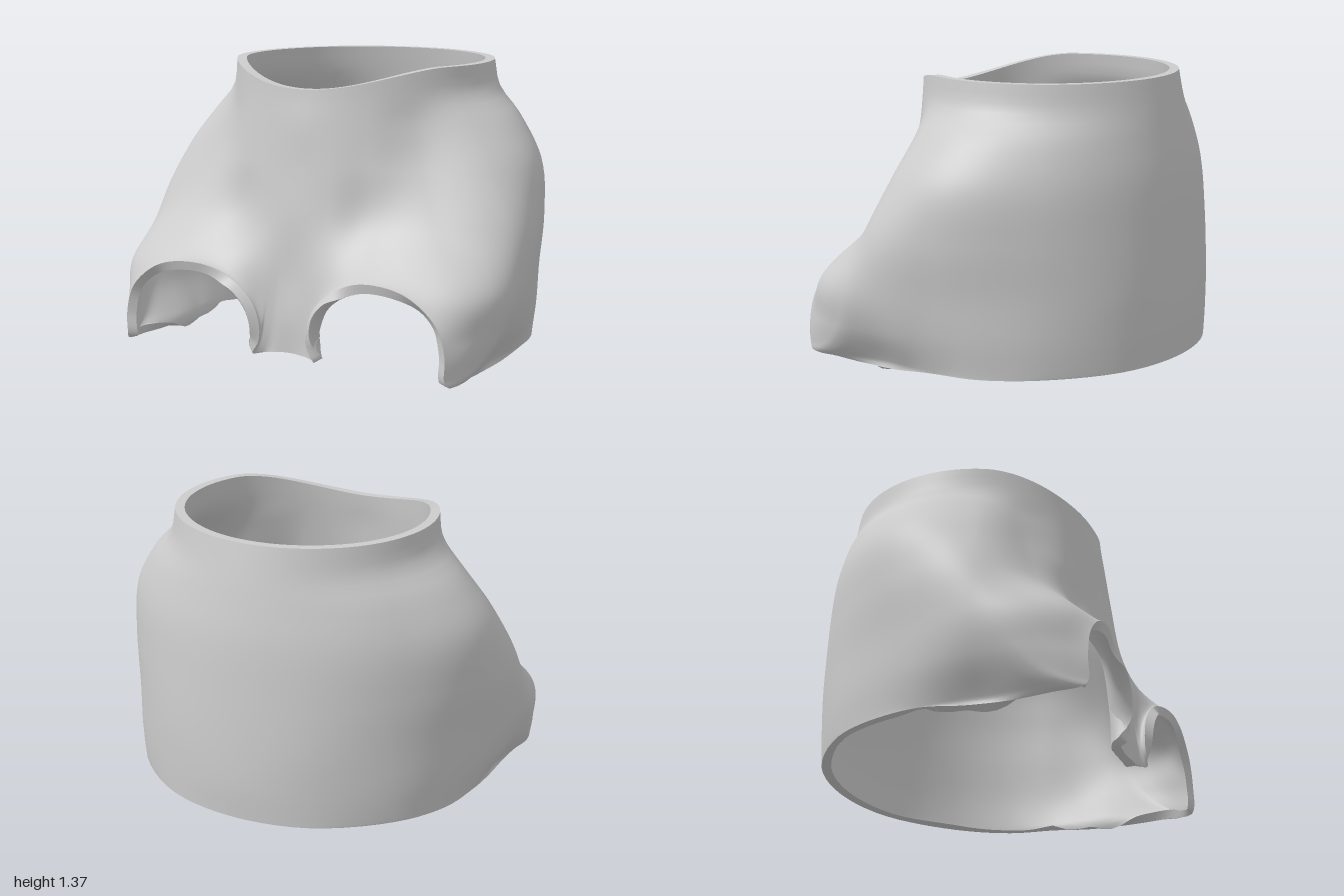
import * as THREE from 'three';

const Z0 = -0.05, WALL = 0.045, ROWS = 48, STEPS = 5, DEG = Math.PI / 180;

// Body radius by angle (0 = back, 180 = front) at a few heights
const ANGLES = [0, 30, 60, 90, 110, 130, 150, 165, 180];
const HEIGHTS = [0.03, 0.2, 0.4, 0.65, 0.9, 1.1, 1.22, 1.35];
const RADII = [
  [0.72, 0.745, 0.80, 0.86, 0.92, 1.08, 1.00, 0.78, 0.73],
  [0.73, 0.75, 0.81, 0.90, 1.02, 1.13, 1.05, 0.78, 0.73],
  [0.725, 0.75, 0.81, 0.92, 1.06, 1.12, 0.90, 0.76, 0.705],
  [0.71, 0.735, 0.81, 0.94, 1.02, 0.87, 0.71, 0.69, 0.685],
  [0.69, 0.71, 0.79, 0.91, 0.89, 0.72, 0.665, 0.655, 0.65],
  [0.655, 0.665, 0.72, 0.78, 0.74, 0.65, 0.635, 0.63, 0.63],
  [0.63, 0.63, 0.645, 0.66, 0.65, 0.63, 0.62, 0.615, 0.61],
  [0.60, 0.605, 0.62, 0.63, 0.63, 0.62, 0.61, 0.605, 0.60],
];

// Lower edge on one side, back to front: x, y, z and the angle reached at the collar
const EDGE = [
  [0, 0.035, -0.77, 0], [0.37, 0.035, -0.695, 28], [0.69, 0.035, -0.45, 55],
  [0.83, 0.03, -0.2, 74], [0.87, 0.03, 0.03, 86], [0.865, 0.01, 0.23, 95],
  [0.857, 0.005, 0.445, 102], [0.86, 0.012, 0.62, 106], [0.86, 0.02, 0.76, 110],
  // arched opening
  [0.85, 0.05, 0.78, 113], [0.852, 0.15, 0.78, 118], [0.82, 0.27, 0.78, 125],
  [0.75, 0.35, 0.78, 131], [0.65, 0.41, 0.78, 137], [0.52, 0.435, 0.775, 143],
  [0.38, 0.42, 0.755, 149], [0.25, 0.36, 0.745, 155], [0.16, 0.27, 0.74, 161],
  [0.125, 0.17, 0.74, 166], [0.13, 0.09, 0.74, 170], [0.165, 0.03, 0.735, 173],
  // bridge between the openings
  [0.13, 0.03, 0.70, 175.5], [0.07, 0.037, 0.687, 178], [0, 0.04, 0.68, 180],
];

// Smooth interpolation through unevenly spaced keys
function smooth(keys, values, x, flatEnds) {
  const last = keys.length - 1;
  x = Math.min(Math.max(x, keys[0]), keys[last]);
  let i = 0;
  while (i < last - 1 && x > keys[i + 1]) i++;
  const slope = (k) => {
    if (flatEnds && (k === 0 || k === last)) return 0;
    const a = Math.max(k - 1, 0), b = Math.min(k + 1, last);
    return (values[b] - values[a]) / (keys[b] - keys[a]);
  };
  const h = keys[i + 1] - keys[i], t = (x - keys[i]) / h, t2 = t * t, t3 = t2 * t;
  return (2 * t3 - 3 * t2 + 1) * values[i] + (t3 - 2 * t2 + t) * h * slope(i)
    + (3 * t2 - 2 * t3) * values[i + 1] + (t3 - t2) * h * slope(i + 1);
}

const bodyRadius = (angle, y) =>
  smooth(HEIGHTS, RADII.map((row) => smooth(ANGLES, row, angle / DEG, true)), y, false);

// The collar dips towards the front
function collarHeight(angle) {
  const z = Z0 - 0.61 * Math.cos(angle);
  return 1.35 - 0.1 * Math.pow(Math.max(0, (z - 0.2) / 0.36), 1.9);
}

// Closed rows of points, lower edge to collar
function outerRows() {
  const mirrored = EDGE.slice(1, -1).reverse().map(([x, y, z, a]) => [-x, y, z, -a]);
  const loop = [...EDGE, ...mirrored];
  const edge = new THREE.CatmullRomCurve3(
    loop.map(([x, y, z]) => new THREE.Vector3(x, y, z)), true);
  const collar = new THREE.CatmullRomCurve3(
    loop.map((p) => new THREE.Vector3(Math.sin(p[3] * DEG), 0, -Math.cos(p[3] * DEG))), true);
  const count = loop.length * STEPS;
  const rows = Array.from({ length: ROWS + 1 }, () => []);
  for (let j = 0; j < count; j++) {
    const e = edge.getPoint(j / count), c = collar.getPoint(j / count);
    const side = j <= count / 2 ? 1 : -1;
    const a0 = Math.atan2(Math.abs(e.x), Z0 - e.z), a1 = Math.atan2(Math.abs(c.x), -c.z);
    const flare = Math.hypot(e.x, e.z - Z0) - bodyRadius(a0, e.y);
    const top = collarHeight(a1);
    for (let i = 0; i <= ROWS; i++) {
      const v = i / ROWS;
      const y = e.y + (top - e.y) * Math.pow(v, 1.6);
      const a = a1 + (a0 - a1) * Math.pow(1 - v, 3);
      const r = bodyRadius(a, y) + flare * Math.pow(1 - v, 4);
      rows[i].push(new THREE.Vector3(side * r * Math.sin(a), y, Z0 - r * Math.cos(a)));
    }
  }
  return rows;
}

// Skin over closed rows of points
function skin(rows) {
  const n = rows[0].length, index = [];
  for (let i = 0; i < rows.length - 1; i++) {
    for (let j = 0; j < n; j++) {
      const k = (j + 1) % n, a = i * n + j, b = a + n, c = i * n + k, d = c + n;
      index.push(a, b, c, c, b, d);
    }
  }
  const geometry = new THREE.BufferGeometry().setFromPoints(rows.flat());
  geometry.setIndex(index);
  geometry.computeVertexNormals();
  return geometry;
}

export function createModel() {
  const group = new THREE.Group();
  group.name = 'hollowBody';
  const material = new THREE.MeshStandardMaterial({ color: 0xcccccc, side: THREE.DoubleSide });
  const add = (name, geometry) => {
    const mesh = new THREE.Mesh(geometry, material);
    mesh.name = name;
    group.add(mesh);
  };

  const outer = outerRows();
  const outerSkin = skin(outer);
  add('outerWall', outerSkin);

  // Inner wall: outer wall pushed inwards along its normals
  const normals = outerSkin.attributes.normal, n = outer[0].length;
  const inner = outer.map((row, i) => row.map((p, j) => {
    const normal = new THREE.Vector3().fromBufferAttribute(normals, i * n + j);
    if (i === ROWS) normal.setY(0).normalize();
    return p.clone().addScaledVector(normal, -WALL);
  }));
  add('innerWall', skin([...inner].reverse()));

  // Flat rims joining both walls
  add('collarRim', skin([outer[ROWS], inner[ROWS]]));
  add('lowerRim', skin([inner[0], outer[0]]));
  return group;
}
